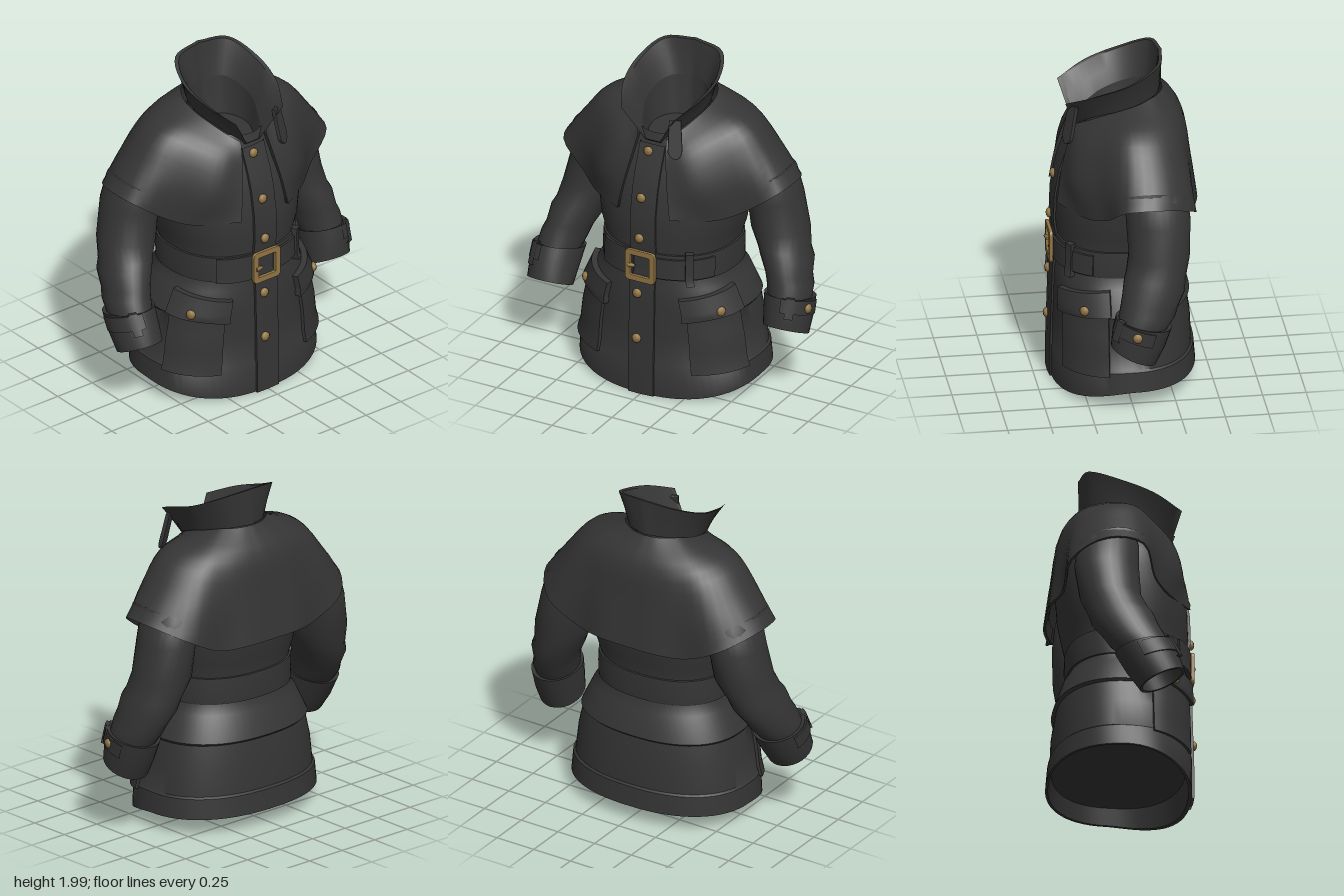
import * as THREE from 'three';
import { toCreasedNormals } from 'three/addons/utils/BufferGeometryUtils.js';

const V = (x, y, z) => new THREE.Vector3(x, y, z);
const P = 0.87; // squareness of the body cross-section
const rad = Math.PI / 180;

// Body rings, from the recessed underside up: height, half width, front depth, back depth, front droop
const BODY = [
  [0.21, 0.002, 0.002, 0.002, 0], [0.21, 0.53, 0.375, 0.385, 0.1],
  [0.11, 0.55, 0.385, 0.405, 0.38],
  [0.11, 0.568, 0.405, 0.42, 0.38], [0.23, 0.558, 0.405, 0.41, 0.08],
  [0.24, 0.545, 0.4, 0.397, 0.08], [0.4, 0.525, 0.4, 0.39, 0.03],
  [0.535, 0.495, 0.395, 0.37, 0], [0.55, 0.505, 0.395, 0.387, 0],
  [0.7, 0.435, 0.39, 0.335, 0], [0.76, 0.39, 0.38, 0.3, 0],
  [0.92, 0.39, 0.375, 0.305, 0], [1.0, 0.415, 0.385, 0.325, 0],
  [1.15, 0.44, 0.38, 0.355, 0], [1.3, 0.455, 0.355, 0.365, 0],
  [1.4, 0.45, 0.325, 0.365, 0], [1.5, 0.42, 0.285, 0.35, 0],
  [1.55, 0.36, 0.27, 0.32, 0.1], [1.68, 0.2, 0.25, 0.2, 0.5],
];
const HEM = 3; // index of the outer hem ring

// Point on a body ring; angle a runs from the front centre towards +x
function ringPoint([y, rx, zf, zb, droop], a, off = 0) {
  const pw = (v) => Math.sign(v) * Math.pow(Math.abs(v), P);
  const c = pw(Math.cos(a));
  const z = c * ((c > 0 ? zf : zb) + off);
  return V(pw(Math.sin(a)) * (rx + off), y - droop * Math.pow(Math.max(0, z), 1.5), z);
}
function surf(a, y, off = 0) {
  let i = HEM;
  while (i < BODY.length - 2 && BODY[i + 1][0] < y) i++;
  const A = BODY[i], B = BODY[i + 1], t = (y - A[0]) / (B[0] - A[0]);
  return ringPoint(A.map((v, k) => v + (B[k] - v) * t), a, off);
}

// Skin a grid of points
function skin(rows, closed = false) {
  const n = rows[0].length, idx = [];
  for (let r = 0; r < rows.length - 1; r++) {
    for (let c = 0; c < (closed ? n : n - 1); c++) {
      const d = (c + 1) % n, a = r * n + c, b = r * n + d;
      idx.push(a, b, a + n, b, b + n, a + n);
    }
  }
  const g = new THREE.BufferGeometry().setFromPoints(rows.flat());
  g.setIndex(idx);
  return toCreasedNormals(g, 0.8);
}
const range = (n, f) => Array.from({ length: n }, (_, i) => f(i));
const spline = (pts, n) => new THREE.CatmullRomCurve3(pts).getPoints(n);
const toPts = (row) => row.map((p) => V(...p));
// Extend a half row, ending at x = 0, with its mirror image
const mirrorRow = (h) => [...h, ...h.slice(0, -1).reverse().map((p) => V(-p.x, p.y, p.z))];

export function createModel() {
  const group = new THREE.Group();
  const cloth = new THREE.MeshStandardMaterial({ color: 0x353535, side: THREE.DoubleSide });
  cloth.name = 'charcoal cloth';
  const brass = new THREE.MeshStandardMaterial({ color: 0x907443 });
  brass.name = 'aged brass';
  const add = (name, geo, mat = cloth) => {
    const m = new THREE.Mesh(geo, mat);
    m.name = name;
    group.add(m);
    return m;
  };
  // Padded patch lying on the body
  const patch = (name, a0, a1, y0, y1, off, slope = 0) => {
    const n = 14, m = 9, cl = (v) => Math.min(1, Math.max(0, v));
    add(name, skin(range(m, (j) => range(n, (i) => {
      const u = cl((i - 1) / (n - 3)), v = cl((j - 1) / (m - 3));
      const edge = i === 0 || j === 0 || i === n - 1 || j === m - 1;
      return surf((a0 + (a1 - a0) * u) * rad, y0 + (y1 - y0) * v + slope * u, edge ? 0.001 : off);
    }))));
  };
  const buttonGeo = new THREE.SphereGeometry(0.029, 9, 6).scale(1, 1, 0.65);
  const button = (name, pos, dir) => {
    const b = add(name, buttonGeo, brass);
    b.position.copy(pos);
    b.lookAt(pos.clone().add(dir));
  };

  // Coat body
  add('coatBody', skin(BODY.map((r) => range(64, (i) => ringPoint(r, i / 64 * 2 * Math.PI))), true));

  // Front placket and its buttons
  const ys = [0.11, 0.23, 0.38, 0.53, 0.7, 0.78, 0.92, 1.0, 1.15, 1.3, 1.4, 1.5, 1.58];
  add('placket', skin(ys.map((y) => {
    const p = surf(0, y);
    return [[-0.08, -0.012], [-0.08, 0.012], [0, 0.014], [0.08, 0.008], [0.08, -0.012]]
      .map(([x, o]) => V(x, p.y, p.z + o));
  })));
  [1.52, 1.25, 1.0, 0.65, 0.375].forEach((y) => {
    const p = surf(0, y, 0.02);
    button('frontButton', V(y < 0.8 ? -0.025 : -0.015, p.y, p.z), V(0, 0, 1));
  });

  // Belt, loop and tail
  add('belt', skin([[0.755, 0], [0.757, 0.01], [0.83, 0.014], [0.913, 0.01], [0.915, 0]]
    .map(([y, o]) => range(64, (i) => surf(i / 64 * 2 * Math.PI, y, o))), true));
  patch('beltTail', 6, 62, 0.768, 0.892, 0.024);
  patch('beltFront', -42, -6, 0.755, 0.91, 0.024);
  patch('beltLoop', 34, 41, 0.735, 0.935, 0.036);

  // Buckle frame and prong
  const frame = new THREE.Shape();
  const box = (s, w, h, r) => {
    s.moveTo(-w + r, -h).lineTo(w - r, -h).quadraticCurveTo(w, -h, w, -h + r);
    s.lineTo(w, h - r).quadraticCurveTo(w, h, w - r, h).lineTo(-w + r, h);
    s.quadraticCurveTo(-w, h, -w, h - r).lineTo(-w, -h + r).quadraticCurveTo(-w, -h, -w + r, -h);
  };
  box(frame, 0.092, 0.094, 0.025);
  const hole = new THREE.Path();
  box(hole, 0.066, 0.068, 0.012);
  frame.holes.push(hole);
  const bevel = { depth: 0.012, bevelSize: 0.005, bevelThickness: 0.005, bevelSegments: 2, curveSegments: 5 };
  add('buckleFrame', new THREE.ExtrudeGeometry(frame, bevel), brass).position.set(-0.006, 0.825, 0.4);
  const prong = add('buckleProng', new THREE.CylinderGeometry(0.009, 0.016, 0.045, 8), brass);
  prong.rotation.z = -Math.PI / 2;
  prong.position.set(-0.062, 0.82, 0.41);

  // Pockets with buttoned flaps
  for (const s of [-1, 1]) {
    patch('pocket', s * 29, s * 74, 0.215, 0.57, 0.018);
    patch('pocketFlap', s * 25, s * 76, 0.515, 0.65, 0.034, 0.05);
    const p = surf(s * 55 * rad, 0.585, 0.038);
    button('pocketButton', p, V(p.x, 0, p.z));
  }

  // Shoulder cape: half rows from the front edge to the centre back
  const capeRows = [
    [[0.09, 1.6, 0.28], [0.14, 1.64, 0.21], [0.19, 1.69, 0.12], [0.22, 1.73, 0.02], [0.22, 1.76, -0.08],
      [0.18, 1.78, -0.16], [0.13, 1.78, -0.2], [0.07, 1.78, -0.23], [0, 1.78, -0.24]],
    [[0.11, 1.48, 0.32], [0.22, 1.53, 0.285], [0.34, 1.6, 0.17], [0.45, 1.66, 0.03], [0.46, 1.66, -0.12],
      [0.38, 1.65, -0.25], [0.27, 1.64, -0.31], [0.14, 1.64, -0.34], [0, 1.64, -0.35]],
    [[0.14, 1.32, 0.36], [0.31, 1.33, 0.31], [0.44, 1.4, 0.19], [0.59, 1.49, 0.04], [0.6, 1.49, -0.15],
      [0.5, 1.44, -0.31], [0.31, 1.4, -0.36], [0.16, 1.4, -0.385], [0, 1.4, -0.39]],
    [[0.17, 1.15, 0.385], [0.39, 1.14, 0.24], [0.52, 1.185, 0.145], [0.7, 1.31, 0.06], [0.725, 1.325, -0.15],
      [0.58, 1.24, -0.35], [0.36, 1.14, -0.37], [0.18, 1.14, -0.42], [0, 1.14, -0.425]],
  ].map((r) => spline(toPts(r), 32));
  const columns = capeRows[0].map((_, i) => spline(capeRows.map((r) => r[i]), 12));
  const cape = range(13, (j) => columns.map((c) => c[j]));
  const inset = (row, k, dy) => row.map((p) => V(p.x * k, p.y + dy, p.z * k));
  cape.push(inset(cape[12], 0.965, 0.002), inset(cape[12], 0.93, 0.08));
  add('shoulderCape', skin(cape.map((r) => mirrorRow([V(r[0].x, r[0].y, r[0].z - 0.03), ...r]))));

  // Stand collar, half rows from the front to the centre back
  const base = spline(toPts([[0.05, 1.58, 0.275], [0.16, 1.67, 0.17], [0.205, 1.73, -0.02],
    [0.14, 1.775, -0.18], [0, 1.78, -0.235]]), 20);
  const rim = spline(toPts([[0.17, 1.77, 0.335], [0.25, 1.84, 0.17], [0.268, 1.905, -0.03],
    [0.19, 1.98, -0.2], [0, 2.0, -0.24]]), 20);
  const mid = base.map((p, i) => p.clone().lerp(rim[i], 0.5).multiply(V(0.97, 1, 1)));
  const inner = (row, d) => row.map((p, i) => {
    const k = 1 - d * Math.min(1, i / 5);
    return V(p.x * k, p.y - 0.004, p.z * k);
  });
  add('collar', skin([base, mid, rim, inner(rim, 0.08), inner(mid, 0.12), inner(base, 0.17)].map(mirrorRow)));

  // Lining closing the neck
  const lining = [[1, 0], [0.92, 0.6], [0.85, 1], [0.002, 1]].map(([k, t]) =>
    mirrorRow(inner(base, 0.17)).map((p) => V(p.x * k, p.y + (1.54 - p.y) * t, p.z * k)));
  add('neckLining', skin(lining, true));

  // Collar strap
  const tab = new THREE.Shape();
  tab.moveTo(-0.03, 0.22).lineTo(-0.037, 0.04).quadraticCurveTo(-0.02, 0, 0.005, 0);
  tab.quadraticCurveTo(0.035, 0.01, 0.037, 0.05).lineTo(0.03, 0.22);
  const strap = add('collarStrap', new THREE.ExtrudeGeometry(tab, { ...bevel, depth: 0.015 }));
  strap.position.set(0.175, 1.525, 0.325);
  strap.rotation.set(-0.25, 0.45, 0.12);

  // Sleeves: x, y, z, half width, half depth, tilt of each ring
  const sleeve = [
    [0.46, 1.5, -0.1, 0.12, 0.13, 0], [0.53, 1.35, -0.13, 0.16, 0.18, 0],
    [0.57, 1.2, -0.14, 0.157, 0.185, 0], [0.605, 1.0, -0.14, 0.17, 0.175, 0.05],
    [0.645, 0.89, -0.115, 0.148, 0.17, 0.15], [0.667, 0.84, -0.105, 0.15, 0.175, 0.2],
    [0.695, 0.75, -0.075, 0.128, 0.16, 0.22], [0.712, 0.7, -0.06, 0.13, 0.155, 0.25],
    [0.73, 0.6, -0.015, 0.12, 0.13, 0.3],
  ];
  const cuff = [
    [0.72, 0.63, -0.035, 0.115, 0.13, 0.25], [0.725, 0.64, -0.035, 0.145, 0.16, 0.25],
    [0.73, 0.54, -0.005, 0.14, 0.15, 0.35], [0.73, 0.44, 0.025, 0.132, 0.128, 0.45],
    [0.73, 0.44, 0.025, 0.115, 0.112, 0.45], [0.73, 0.56, 0, 0.1, 0.11, 0.4],
    [0.73, 0.6, 0, 0.01, 0.01, 0.4],
  ];
  // Rings of a band wrapped around the cuff
  const band = (y0, y1, out) => [[y1, 0.13], [y1 - 0.002, out], [y0, out], [y0 - 0.002, 0.13]]
    .map(([y, r]) => [0.728, y, -0.01 + (0.56 - y) * 0.28, r, r + 0.01, 0.33]);
  for (const s of [-1, 1]) {
    const side = s > 0 ? 'left' : 'right';
    // The right arm reaches further forward
    const reach = (y) => (s < 0 ? 0.12 * Math.pow(Math.max(0, (1.2 - y) / 0.7), 1.5) : 0);
    const arc = (rows, a0, a1, n) => rows.map(([x, y, z, rx, rz, t]) => range(n, (i) => {
      const a = (a0 + (a1 - a0) * i / n) * rad, dz = rz * Math.cos(a);
      return V(s * (x + rx * Math.sin(a)), y + t * dz, z + dz + reach(y));
    }));
    add(side + 'Sleeve', skin(arc(sleeve, 0, 360, 28), true));
    add(side + 'Cuff', skin(arc(cuff, 0, 360, 28), true));
    add(side + 'CuffStrap', skin(arc(band(0.55, 0.63, 0.15), 10, 120, 14)));
    add(side + 'CuffLoop', skin(arc(band(0.52, 0.64, 0.157), 22, 45, 5)));
  }
  button('cuffButton', V(0.871, 0.6, 0.02), V(1, 0, 0.15));

  return group;
}
